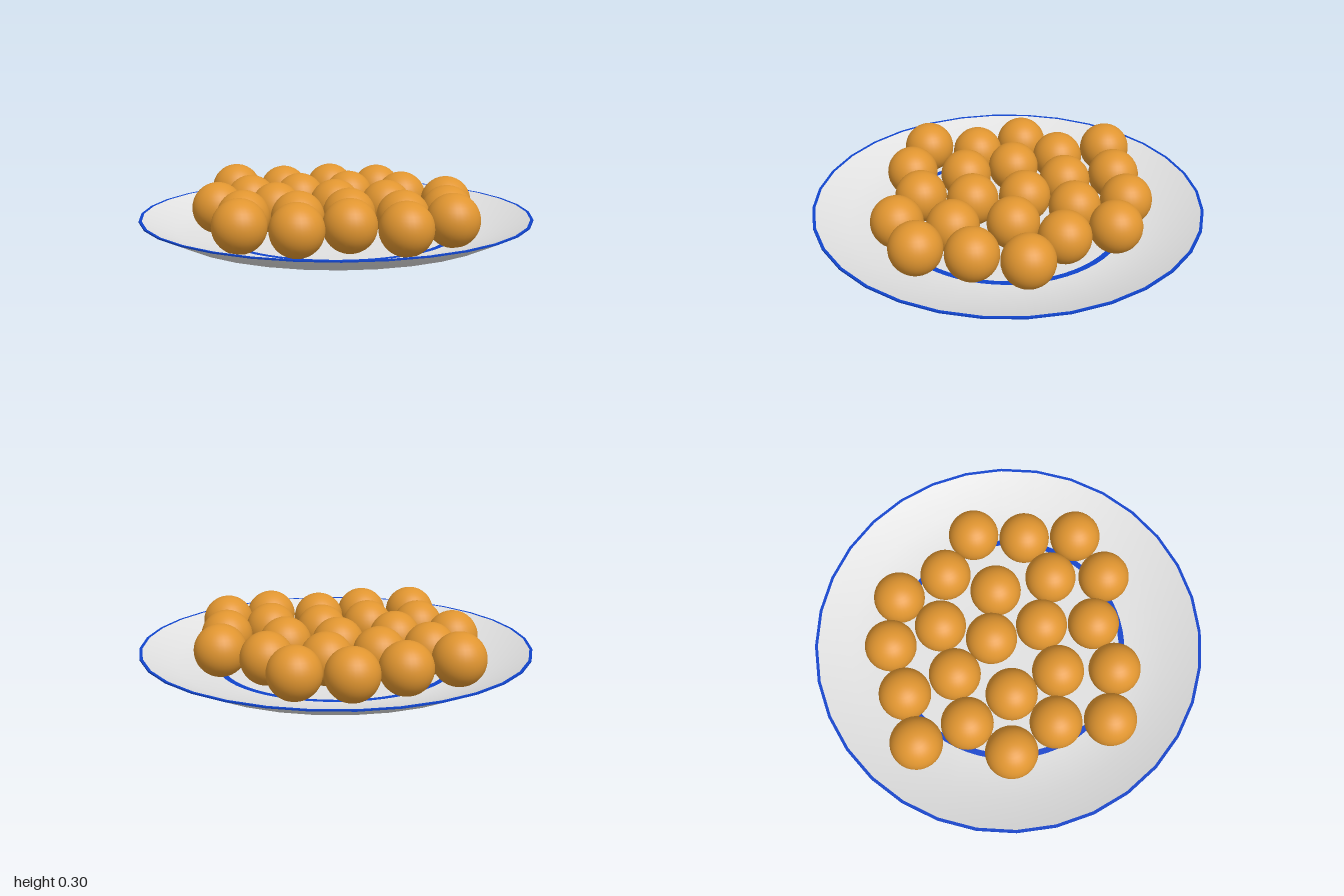
import * as THREE from 'three';

const SIDES = 32;
const BALL_RADIUS = 0.1325;

// Ball centres seen from above: [x, z]
const BALLS = [
  [-0.225, -0.567], [0.032, -0.48], [0.3, -0.53], [-0.444, -0.412], [-0.193, -0.3],
  [0.145, -0.225], [0.471, -0.32], [-0.578, -0.177], [0.658, -0.125], [-0.332, -0.064],
  [-0.064, -0.059], [0.396, -0.064], [-0.723, 0.048], [-0.476, 0.16], [-0.214, 0.22],
  [0.166, 0.08], [0.589, 0.139], [0.353, 0.273], [0.037, 0.31], [-0.434, 0.423],
  [-0.171, 0.482], [0.241, 0.514], [0.021, 0.674],
];

function material(name, color) {
  const m = new THREE.MeshStandardMaterial({ color });
  m.name = name;
  return m;
}

export function createModel() {
  const group = new THREE.Group();
  group.name = 'plateOfBalls';
  const china = material('white china', 0xe2e2e2);
  const blue = material('blue glaze', 0x1044cc);
  const dough = material('golden dough', 0xe09530);

  const add = (parent, name, geometry, mat) => {
    const mesh = new THREE.Mesh(geometry, mat);
    mesh.name = name;
    parent.add(mesh);
    return mesh;
  };
  const lathe = (profile) =>
    new THREE.LatheGeometry(profile.map(([r, y]) => new THREE.Vector2(r, y)), SIDES);

  // Plate: underside and dished upper face
  const plate = new THREE.Group();
  plate.name = 'plate';
  group.add(plate);
  add(plate, 'plateUnderside', lathe([[0, 0], [0.63, 0], [0.83, 0.04], [1, 0.119]]), china);
  add(plate, 'plateTop', lathe([[0.985, 0.125], [0.82, 0.062], [0.6, 0.02], [0, 0.02]]), china);

  // Blue rim: outer edge and narrow top lip
  add(plate, 'rimEdge', lathe([[1, 0.119], [1, 0.126]]), blue);
  add(plate, 'rimLip', lathe([[1, 0.126], [0.985, 0.125]]), blue);

  // Painted blue band around the floor of the plate
  const band = add(plate, 'floorBand', new THREE.RingGeometry(0.582, 0.612, 64), blue);
  band.rotation.x = -Math.PI / 2;
  band.position.y = 0.024;

  // Balls rest on the floor; the outermost ride up the slope
  const balls = new THREE.Group();
  balls.name = 'balls';
  group.add(balls);
  const ballGeometry = new THREE.SphereGeometry(BALL_RADIUS, 32, 20);
  for (const [x, z] of BALLS) {
    const climb = Math.max(0, Math.hypot(x, z) - 0.61) * 0.17;
    const ball = add(balls, 'ball', ballGeometry, dough);
    ball.position.set(x, 0.02 + BALL_RADIUS + climb, z);
  }
  return group;
}
